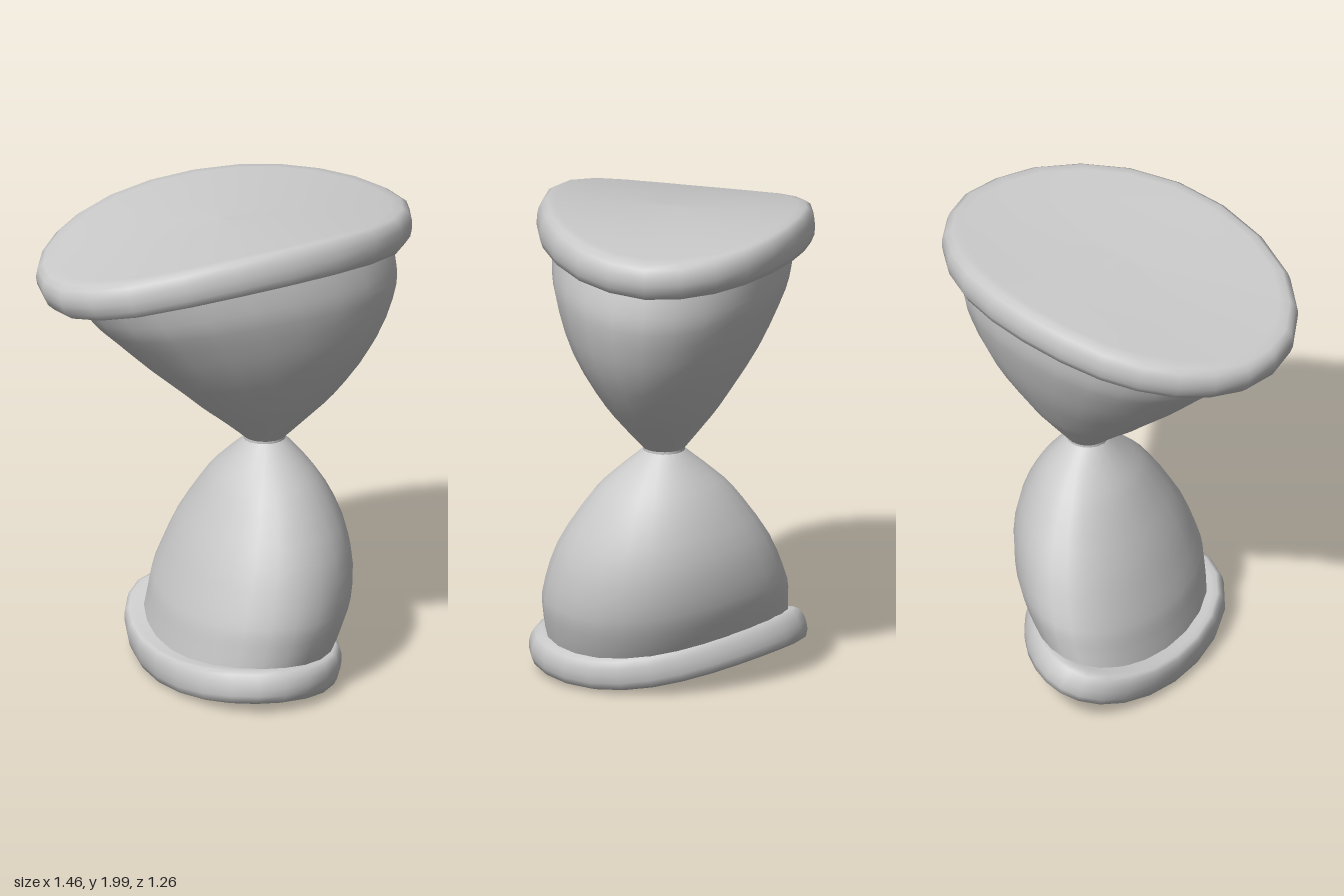
import * as THREE from 'three';

const SIDES = 24;
const V2 = (x, y) => new THREE.Vector2(x, y);
const material = new THREE.MeshStandardMaterial({ color: 0xcccccc });

// Diagonal coordinates: p runs along (+x,+z), q along (+x,-z)
const toP = (x, z) => (x + z) * Math.SQRT1_2;
const toQ = (x, z) => (x - z) * Math.SQRT1_2;

// Warped mid-surfaces of the two end discs
const topSurface = (x, z) => {
  const p = toP(x, z), q = toQ(x, z);
  return 1.88 + 0.062 * p + 0.077 * q + 0.04 * p * p - 0.13 * q * q - 0.11 * p * q;
};
const baseSurface = (x, z) => {
  const p = toP(x, z), q = toQ(x, z);
  return 0.1 - 0.07 * p + 0.08 * q + 0.15 * p * p - 0.32 * p * q;
};

// Egg-shaped outline of the top disc
const topCurve = new THREE.CatmullRomCurve3([
  [0.13, -0.635], [0.455, -0.595], [0.685, -0.405], [0.715, -0.085],
  [0.52, 0.26], [0.16, 0.525], [-0.265, 0.63], [-0.57, 0.515],
  [-0.72, 0.26], [-0.70, -0.04], [-0.54, -0.31], [-0.225, -0.53],
].map(([x, z]) => new THREE.Vector3(x, 0, z)), true);

// Slanted, skewed ellipse of the base disc
const baseOutline = [], topOutline = [];
for (let i = 0; i < SIDES; i++) {
  const a = (i / SIDES) * Math.PI * 2;
  const q = 0.042 + 0.37 * Math.cos(a), p = -0.006 + 0.558 * Math.sin(a);
  const skew = 0.022 - 0.047 * Math.sin(2 * a);
  baseOutline.push(V2((p + q) * Math.SQRT1_2, (p - q) * Math.SQRT1_2 + skew));
  const t = topCurve.getPoint(i / SIDES);
  topOutline.push(V2(t.x, t.z));
}

// Skin over closed rings listed from bottom to top
function loft(name, rings) {
  const index = [];
  for (let r = 0; r < rings.length - 1; r++) {
    for (let i = 0; i < SIDES; i++) {
      const j = (i + 1) % SIDES;
      const a = r * SIDES + i, b = r * SIDES + j;
      index.push(a, a + SIDES, b, b, a + SIDES, b + SIDES);
    }
  }
  const geometry = new THREE.BufferGeometry().setFromPoints(rings.flat());
  geometry.setIndex(index);
  geometry.computeVertexNormals();
  const mesh = new THREE.Mesh(geometry, material);
  mesh.name = name;
  return mesh;
}

// Disc with a rounded rim, thickened along the normal of its warped surface
function disc(name, outline, surface, half) {
  const section = [
    [0, -1], [0.3, -1], [0.6, -1], [0.82, -1], [0.92, -0.99], [0.97, -0.85],
    [0.995, -0.45], [1, 0], [0.995, 0.4], [0.975, 0.8], [0.94, 0.97],
    [0.88, 1], [0.6, 1], [0.3, 1], [0, 1],
  ];
  const e = 0.01;
  return loft(name, section.map(([s, h]) => outline.map((o) => {
    const x = o.x * s, z = o.y * s;
    const normal = new THREE.Vector3(
      (surface(x - e, z) - surface(x + e, z)) / (2 * e), 1,
      (surface(x, z - e) - surface(x, z + e)) / (2 * e)).normalize();
    return new THREE.Vector3(x, surface(x, z), z).addScaledVector(normal, h * half);
  })));
}

// Neck circle shared by both bulbs
const NECK = { x: 0.15, z: -0.085, r: 0.085 };
const neckRing = (outline, y) => outline.map((o) => {
  const d = o.clone().normalize();
  return new THREE.Vector3(NECK.x + d.x * NECK.r, y, NECK.z + d.y * NECK.r);
});

// Bulb growing from the neck to a disc: belly shifts its middle sideways,
// swell widens the middle along q, end shifts the ring that meets the disc
function bulb(name, outline, surface, { neckY, lift, scale, profile, belly, swell, end }) {
  const curve = new THREE.SplineCurve(profile.map(([t, f]) => V2(t, f)));
  const rings = [];
  const STEPS = 16;
  for (let k = 0; k <= STEPS; k++) {
    const { x: t, y: f } = curve.getPoint(k / STEPS);
    const sway = 4 * t * (1 - t);
    rings.push(neckRing(outline, neckY).map((n, i) => {
      const ex = outline[i].x * scale + end[0], ez = outline[i].y * scale + end[1];
      const wide = swell * toQ(ex, ez) * Math.SQRT1_2;
      return new THREE.Vector3(
        n.x + (ex - n.x) * f + (belly[0] + wide) * sway,
        neckY + (surface(ex, ez) + lift - neckY) * t,
        n.z + (ez - n.z) * f + (belly[1] - wide) * sway);
    }));
  }
  if (lift > 0) rings.reverse();
  return loft(name, rings);
}

export function createModel() {
  const group = new THREE.Group();
  group.name = 'hourglass';
  group.add(
    disc('topDisc', topOutline, topSurface, 0.08),
    disc('baseDisc', baseOutline, baseSurface, 0.07),
    bulb('upperBulb', topOutline, topSurface, {
      neckY: 0.995, lift: -0.06, scale: 0.86, belly: [0.085, -0.03], swell: -0.07, end: [0.018, -0.012],
      profile: [[0, 0], [0.12, 0.21], [0.25, 0.42], [0.5, 0.74], [0.75, 0.95], [0.88, 1], [1, 1]],
    }),
    bulb('lowerBulb', baseOutline, baseSurface, {
      neckY: 0.985, lift: 0.05, scale: 0.87, belly: [0.072, -0.04], swell: 0.1, end: [0.02, -0.01],
      profile: [[0, 0], [0.12, 0.28], [0.25, 0.53], [0.5, 0.85], [0.75, 1.01], [0.88, 1.02], [1, 1]],
    }),
    // Short collar between the bulbs
    loft('neck', [neckRing(topOutline, 0.98), neckRing(topOutline, 1)]),
  );
  return group;
}
